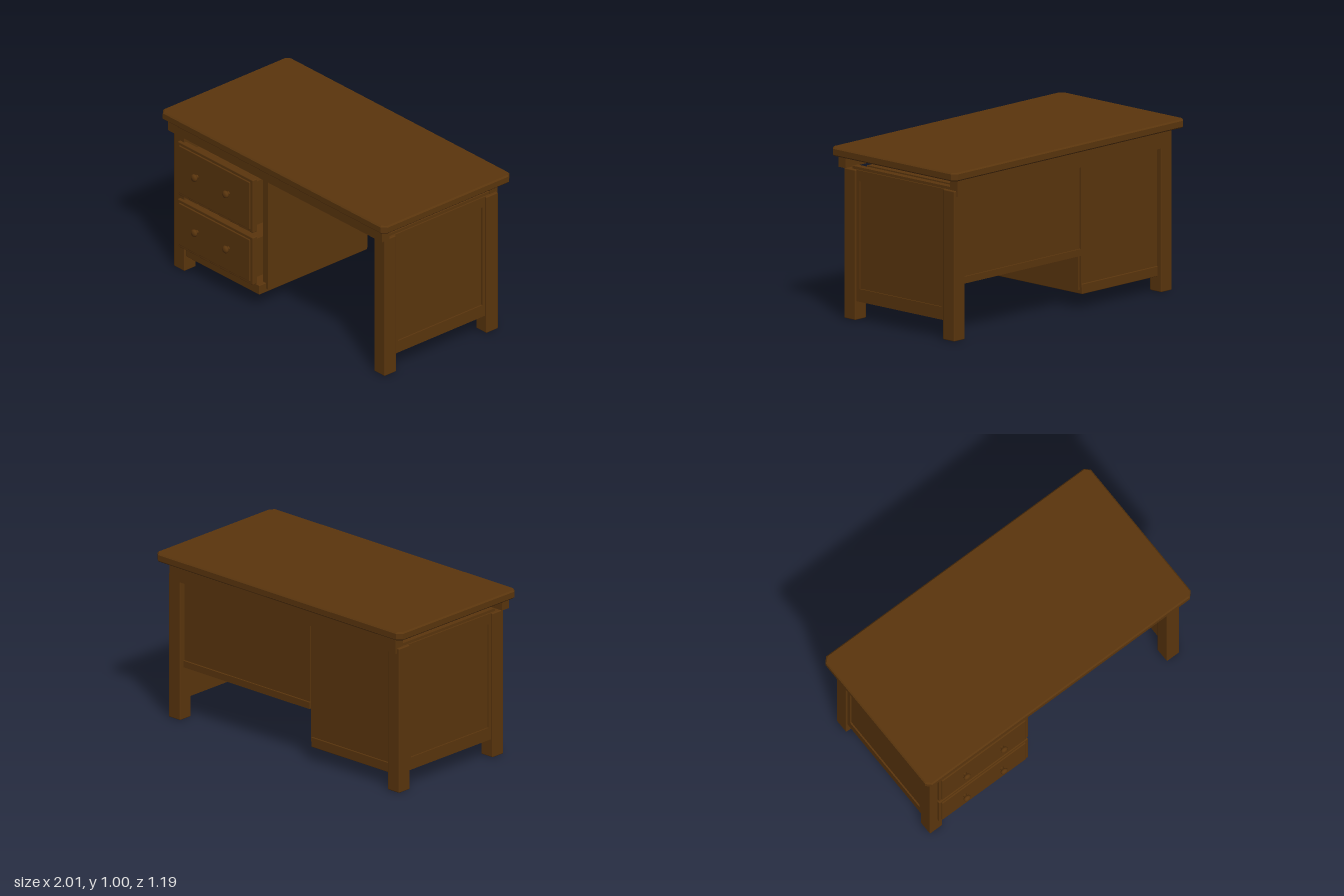
import * as THREE from 'three';
import { RoundedBoxGeometry } from 'three/addons/geometries/RoundedBoxGeometry.js';

export function createModel() {
  const desk = new THREE.Group();
  desk.name = 'writingDesk';
  const wood = new THREE.MeshStandardMaterial({ color: 0x5a350d });
  wood.name = 'dark walnut';

  const add = (name, geometry) => {
    const mesh = new THREE.Mesh(geometry, wood);
    mesh.name = name;
    desk.add(mesh);
    return mesh;
  };
  // Box given by its limits, with an optional softened edge
  const box = (name, x0, x1, y0, y1, z0, z1, r = 0) => {
    const s = [x1 - x0, y1 - y0, z1 - z0];
    const mesh = add(name, r ? new RoundedBoxGeometry(...s, 2, r) : new THREE.BoxGeometry(...s));
    mesh.position.set((x0 + x1) / 2, (y0 + y1) / 2, (z0 + z1) / 2);
    return mesh;
  };

  // Tabletop with clipped corners and a bevelled rim
  const b = 0.008, hx = 0.955 - b, hz = 0.492 - b, c = 0.024;
  const outline = new THREE.Shape([
    [-hx + c, -hz], [hx - c, -hz], [hx, -hz + c], [hx, hz - c],
    [hx - c, hz], [-hx + c, hz], [-hx, hz - c], [-hx, -hz + c],
  ].map(([x, y]) => new THREE.Vector2(x, y)));
  const topGeo = new THREE.ExtrudeGeometry(outline, {
    depth: 0.05 - 2 * b, bevelEnabled: true, bevelSize: b, bevelThickness: b, bevelSegments: 1,
  });
  topGeo.rotateX(-Math.PI / 2);
  add('tabletop', topGeo).position.y = 0.95 + b;

  // Aprons under the top
  box('frontApron', -0.91, 0.91, 0.88, 0.951, 0.41, 0.465);
  box('backApron', -0.88, 0.88, 0.845, 0.951, -0.445, -0.386);

  // Legs and framed side panels
  for (const [side, s] of [['left', 1], ['right', -1]]) {
    for (const [end, e] of [['Front', 1], ['Back', -1]]) {
      box(side + end + 'Leg', s * 0.852 - 0.045, s * 0.852 + 0.045, 0, 0.877,
        e * 0.389 - 0.045, e * 0.389 + 0.045, 0.006);
    }
    const plate = (name, a, d, y0, y1, z0, z1) =>
      box(side + name, Math.min(s * a, s * d), Math.max(s * a, s * d), y0, y1, z0, z1);
    plate('SidePanel', 0.835, 0.877, 0.11, 0.893, -0.385, 0.385);
    plate('SideTopRail', 0.87, 0.886, 0.815, 0.877, -0.35, 0.35);
    plate('SideBottomRail', 0.87, 0.886, 0.11, 0.185, -0.35, 0.35);
    for (const e of [1, -1]) {
      plate('SideStile', 0.87, 0.886, 0.185, 0.815, e > 0 ? 0.322 : -0.35, e > 0 ? 0.35 : -0.322);
    }
  }

  // Drawer pedestal
  box('pedestalBase', -0.81, -0.185, 0.09, 0.15, -0.406, 0.42, 0.004);
  box('pedestalInnerSide', -0.21, -0.168, 0.115, 0.88, -0.39, 0.37);
  box('pedestalBack', -0.81, -0.18, 0.13, 0.88, -0.4, -0.365);

  // Drawers with raised fields and round knobs
  const knobGeo = new THREE.LatheGeometry([
    [0.012, 0], [0.011, 0.012], [0.02, 0.018], [0.023, 0.026], [0.02, 0.034], [0.011, 0.039], [0, 0.04],
  ].map(([x, y]) => new THREE.Vector2(x, y)), 20);
  knobGeo.rotateX(Math.PI / 2);
  for (const [name, y0, y1, knobY] of [['lower', 0.155, 0.46, 0.32], ['upper', 0.49, 0.83, 0.675]]) {
    box(name + 'DrawerFront', -0.845, -0.205, y0, y1, 0.415, 0.452, 0.005);
    box(name + 'DrawerField', -0.828, -0.226, y0 + 0.018, y1 - 0.018, 0.445, 0.46, 0.004);
    box(name + 'DrawerBox', -0.76, -0.225, y0 + 0.03, y1 - 0.03, -0.3, 0.42);
    for (const x of [-0.668, -0.402]) {
      add(name + 'DrawerKnob', knobGeo).position.set(x, knobY, 0.458);
    }
  }

  // Shallow drawer over the knee space
  box('kneeDrawer', -0.17, 0.777, 0.8, 0.882, -0.3, 0.365);

  // Modesty panel at the back of the knee space
  box('modestyPanel', -0.17, 0.81, 0.33, 0.88, -0.397, -0.37);
  box('modestyBottomRail', -0.175, 0.81, 0.317, 0.357, -0.408, -0.358);

  // The desk stands slightly turned
  desk.rotation.y = -THREE.MathUtils.degToRad(6.7);
  const model = new THREE.Group();
  model.name = 'desk';
  model.add(desk);
  return model;
}
